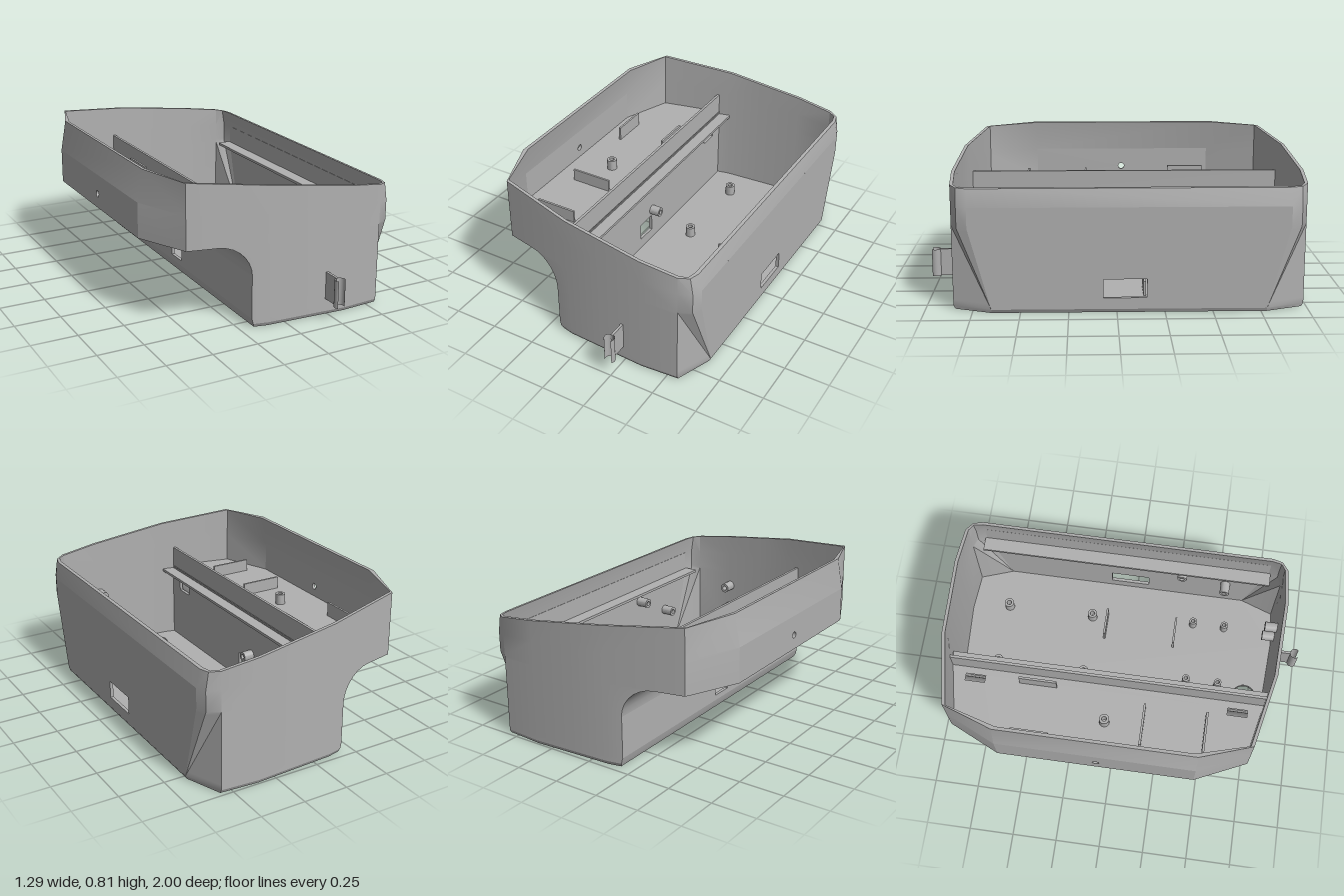
import * as THREE from 'three';
import { toCreasedNormals } from 'three/addons/utils/BufferGeometryUtils.js';

const ZC = -0.065; // mirror plane of the tub
const T = 0.018;   // wall thickness

// Half width of the tub along x
const WIDTH = [[-0.65, 0.54], [-0.52, 0.82], [-0.1, 0.91], [0.35, 0.935], [0.56, 0.92]];
function halfWidth(x) {
  for (let i = 1; i < WIDTH.length; i++) {
    const [x0, w0] = WIDTH[i - 1], [x1, w1] = WIDTH[i];
    if (x <= x1) return w0 + (w1 - w0) * (x - x0) / (x1 - x0);
  }
  return 0.92;
}
const topY = x => x < -0.15 ? 0.76 - 0.106 * (x + 0.15) : 0.76 - 0.135 * (x + 0.15);
const midY = x => 0.64 - 0.0618 * (x + 0.65);

// One closed cross-section; the +x corners are cut by a tapering triangular chamfer
function ring(y, xMin, { t = 0, xMax = 0.645, inset = 0, ...flags } = {}) {
  const yAt = x => typeof y === 'function' ? y(x) : y;
  const half = [-0.65, -0.52, -0.1, 0.1, 0.35, 0.56].map(x => {
    const cx = Math.max(x, xMin);
    return [cx, halfWidth(xMin > -0.6 ? cx : x) - t - inset];
  });
  const f = THREE.MathUtils.clamp((yAt(0.6) - 0.02) / 0.43, 0, 1);
  for (const [x, w] of [[0.56, 0.92], [0.625, 0.885], [0.645, 0.83]]) {
    const px = 0.645 + (x - 0.645) * f, pw = 0.715 + (w - 0.715) * f;
    const pull = (px - 0.56) / 0.085;
    half.push([px - (0.645 - xMax + inset) * pull, pw - (t + inset) * (1 - pull)]);
  }
  const at = ([x, w], s) => new THREE.Vector3(x, yAt(x), ZC + s * w);
  const pts = [...half.map(p => at(p, 1)), ...half.map(p => at(p, -1)).reverse()];
  return { pts, ...flags };
}

function loft(rings) {
  const pos = [];
  const tri = (a, b, c) => {
    const n = b.clone().sub(a).cross(c.clone().sub(a));
    if (n.length() > 1e-8) for (const p of [a, b, c]) pos.push(p.x, p.y, p.z);
  };
  for (let k = 0; k < rings.length - 1; k++) {
    const r = rings[k], a = r.pts, b = rings[k + 1].pts, n = a.length;
    if (r.open) continue;
    for (let i = 0; i < n; i++) {
      if ((r.noRight && i === n / 2 - 1) || (r.noLeft && i === n - 1)) continue;
      const j = (i + 1) % n;
      // mirrored diagonals on the two sides
      if (i < n / 2) { tri(a[i], a[j], b[i]); tri(a[j], b[j], b[i]); }
      else { tri(a[i], a[j], b[j]); tri(a[i], b[j], b[i]); }
    }
  }
  const g = new THREE.BufferGeometry();
  g.setAttribute('position', new THREE.Float32BufferAttribute(pos, 3));
  return toCreasedNormals(g, 0.45);
}

const shapeOf = (pts, holes = []) => {
  const s = new THREE.Shape(pts.map(p => new THREE.Vector2(...p)));
  s.holes = holes;
  return s;
};
const rectHole = (cx, cy, w, h) => new THREE.Path([[-1, -1], [-1, 1], [1, 1], [1, -1]]
  .map(([a, b]) => new THREE.Vector2(cx + a * w / 2, cy + b * h / 2)));
const roundHole = (cx, cy, r) => new THREE.Path().absarc(cx, cy, r, 0, Math.PI * 2, true);

export function createModel() {
  const group = new THREE.Group();
  const grey = new THREE.MeshStandardMaterial({ color: 0xb0b0b0, side: THREE.DoubleSide });
  grey.name = 'grey plastic';
  const add = (name, geo, x = 0, y = 0, z = 0) => {
    const m = new THREE.Mesh(geo, grey);
    m.name = name;
    m.position.set(x, y, z);
    group.add(m);
    return m;
  };
  const box = (name, x0, x1, y0, y1, z0, z1) =>
    add(name, new THREE.BoxGeometry(x1 - x0, y1 - y0, z1 - z0), (x0 + x1) / 2, (y0 + y1) / 2, (z0 + z1) / 2);
  // Wall in a plane of constant x, drawn in (-z, y)
  const panel = (name, x, rows, holes) => {
    const pts = [...rows.map(([w, y]) => [w - ZC, y]), ...rows.map(([w, y]) => [-w - ZC, y]).reverse()];
    const g = new THREE.ExtrudeGeometry(shapeOf(pts, holes), { depth: T, bevelEnabled: false, curveSegments: 12 });
    add(name, g.rotateY(Math.PI / 2), x);
  };
  // Horizontal sheet drawn in (x, z)
  const sheet = (name, y, pts, holes) =>
    add(name, new THREE.ShapeGeometry(shapeOf(pts, holes), 24).rotateX(Math.PI / 2), 0, y);
  const flat = r => r.pts.map(p => [p.x, p.z]);

  // Shell: outside upward, over the rim, inside downward
  const bottom = ring(0, -0.17, { inset: 0.01 });
  const floor = ring(0.02, -0.167, { t: T, xMax: 0.627 });
  const arc = [];
  for (let i = 1; i <= 7; i++) {
    const a = i / 7 * Math.PI / 2;
    arc.push(ring(0.28 + 0.17 * Math.sin(a), -0.36 + 0.175 * Math.cos(a), { noRight: true }));
  }
  const inner = { t: T, xMax: 0.627, noRight: true, noLeft: true };
  add('shell', loft([
    bottom,
    ring(0.02, -0.178, { noRight: true }),
    ring(0.05, -0.185, { noRight: true, noLeft: true }),
    ring(0.28, -0.185, { noRight: true }),
    ...arc,
    ring(0.45, -0.65, { noRight: true, noLeft: true }),
    ring(midY, -0.65),
    ring(topY, -0.62, { xMax: 0.625 }),
    ring(topY, -0.602, { t: T, xMax: 0.607 }),
    ring(midY, -0.632, inner),
    ring(0.47, -0.632, { ...inner, open: true }),
    ring(0.47, -0.167, inner),
    ring(0.45, -0.167, inner),
    ring(0.05, -0.167, { ...inner, noLeft: false }),
    floor,
  ]));

  // Floor with round cable hole
  const cableHole = () => [roundHole(0.01, 0.725, 0.068)];
  sheet('underside', 0, flat(bottom), cableHole());
  sheet('floor', 0.02, flat(floor), cableHole());
  add('cableHoleRim', new THREE.CylinderGeometry(0.068, 0.068, 0.02, 24, 1, true), 0.01, 0.01, 0.725);

  // Shelf with two slots
  const edge = [-0.632, -0.52, -0.167].map(x => [x, halfWidth(x) - T]);
  sheet('shelf', 0.47, [...edge.map(([x, w]) => [x, ZC + w]), ...edge.map(([x, w]) => [x, ZC - w]).reverse()],
    [-0.8, 0.67].map(z => rectHole(-0.245, z, 0.04, 0.11)));

  // Flat walls with their openings
  panel('portWall', 0.627, [[0.715, 0.02], [0.83, 0.45], [0.83, 0.56]], [rectHole(0.043, 0.13, 0.225, 0.1)]);
  panel('lowerWall', -0.185, [[0.89, 0.05], [0.89, 0.46]],
    [rectHole(0.043, 0.13, 0.125, 0.1), rectHole(0.8, 0.37, 0.11, 0.07), rectHole(-0.67, 0.37, 0.11, 0.07)]);
  panel('upperWall', -0.65, [[0.54, 0.45], [0.54, 0.64]], [roundHole(0.06, 0.53, 0.018)]);

  // Divider and ledges
  box('divider', -0.185, -0.17, 0.45, 0.59, ZC - 0.88, ZC + 0.88);
  box('dividerLedge', -0.175, -0.1, 0.44, 0.455, ZC - 0.89, ZC + 0.89);
  box('wallLedge', 0.55, 0.63, 0.44, 0.455, ZC - 0.84, ZC + 0.84);

  // Hollow posts
  const post = (name, r, h, x, y, z) => {
    const p = [[0.5, 0], [1, 0], [1, h / r], [0.5, h / r], [0.5, 0]].map(([a, b]) => new THREE.Vector2(a * r, b * r));
    return add(name, toCreasedNormals(new THREE.LatheGeometry(p, 20), 0.6), x, y, z);
  };
  for (const x of [0.02, 0.39]) for (const z of [-0.76, -0.245]) post('largePost', 0.028, 0.06, x, 0.02, z);
  for (const x of [0.055, 0.425]) for (const z of [0.37, 0.56]) post('smallPost', 0.022, 0.06, x, 0.02, z);
  post('shelfPost', 0.028, 0.06, -0.4, 0.47, -0.05);
  for (const y of [0.23, 0.37]) post('endWallPost', 0.028, 0.08, 0.33, y, 0.86).rotation.x = -Math.PI / 2;
  for (const [y, z] of [[0.37, 0.27], [0.24, 0.53]]) post('portWallPost', 0.028, 0.07, 0.628, y, z).rotation.z = Math.PI / 2;
  post('lowerWallPost', 0.028, 0.06, -0.168, 0.22, -0.11).rotation.z = -Math.PI / 2;

  // Thin retaining fins
  for (const x of [-0.53, -0.235]) box('shelfFin', x - 0.006, x + 0.006, 0.47, 0.55, -0.55, -0.34);
  for (const z of [0.16, 0.505]) box('shelfFin', -0.52, -0.285, 0.47, 0.54, z - 0.006, z + 0.006);
  for (const z of [-0.155, 0.265]) box('floorFin', 0.26, 0.425, 0.02, 0.1, z - 0.006, z + 0.006);

  // Outside cable clip: stem and open ring
  box('clipStem', 0.232, 0.246, 0.09, 0.24, 0.855, 0.96);
  add('clipRing', new THREE.CylinderGeometry(0.028, 0.028, 0.15, 20, 1, true, 0.8, Math.PI * 2 - 1.6), 0.238, 0.165, 0.982);
  return group;
}
